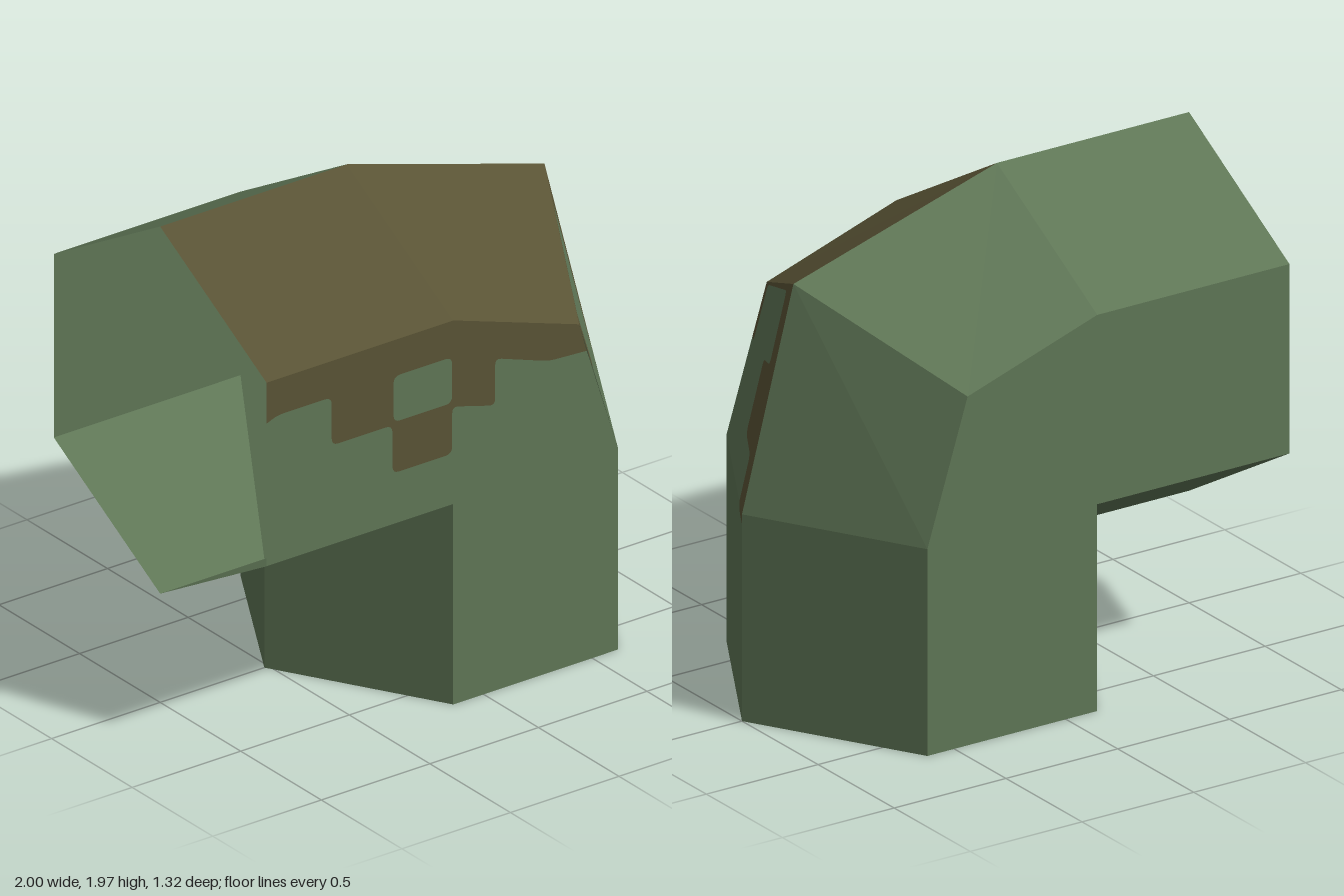
import * as THREE from 'three';

const W = 0.66; // half width of the hexagonal duct

// Edge rails of the bent duct in x, y, from the side opening round to the bottom opening
const ridge = [[-1, 1.97], [-0.14, 1.97], [0.77, 1.7], [1, 0.83], [1, 0]];
const shoulder = [[-1, 1.59], [-0.14, 1.59], [0.44, 1.4], [0.62, 0.83], [0.62, 0]];
const crook = [[-1, 0.83], [-0.14, 0.83], [-0.14, 0]];
const belly = [[-1, 0.45], [-0.52, 0.45], [-0.52, 0]];

const green = new THREE.MeshStandardMaterial({ color: 0x5f7656, side: THREE.DoubleSide });
green.name = 'muted green';
const brown = new THREE.MeshStandardMaterial({ color: 0x59533a, side: THREE.DoubleSide });
brown.color.set(0x595335);
brown.name = 'olive brown';

// Flat-faced copy, with the winding reversed when asked
function finish(geo, reverse) {
  const g = geo.index ? geo.toNonIndexed() : geo;
  g.deleteAttribute('uv');
  if (reverse) {
    const p = g.attributes.position;
    const a = new THREE.Vector3(), b = new THREE.Vector3();
    for (let i = 0; i < p.count; i += 3) {
      a.fromBufferAttribute(p, i + 1);
      b.fromBufferAttribute(p, i + 2);
      p.setXYZ(i + 1, b.x, b.y, b.z);
      p.setXYZ(i + 2, a.x, a.y, a.z);
    }
  }
  g.computeVertexNormals();
  return g;
}

// Panels between two rails, spanning the listed segments
function strip(a, za, b, zb, segments, reverse) {
  const pos = [];
  for (const i of segments) {
    const p = [...a[i], za], q = [...b[i], zb], r = [...b[i + 1], zb], s = [...a[i + 1], za];
    pos.push(...p, ...q, ...r, ...p, ...r, ...s);
  }
  const g = new THREE.BufferGeometry();
  g.setAttribute('position', new THREE.Float32BufferAttribute(pos, 3));
  return finish(g, reverse);
}

// Softens the inner corners of an open outline
function soften(points, radius = 0.03) {
  const v = points.map(p => new THREE.Vector2(...p));
  const out = [v[0]];
  for (let i = 1; i < v.length - 1; i++) {
    const toward = n => {
      const d = n.clone().sub(v[i]);
      return v[i].clone().add(d.setLength(Math.min(radius, d.length() * 0.45)));
    };
    const curve = new THREE.QuadraticBezierCurve(toward(v[i - 1]), v[i], toward(v[i + 1]));
    out.push(...curve.getPoints(4));
  }
  out.push(v[v.length - 1]);
  return out;
}

const vec = list => list.map(p => new THREE.Vector2(...p));

// Flat shape in x, y set at depth z
function wall(points, z, holes = [], reverse = false) {
  const shape = new THREE.Shape(points);
  for (const h of holes) shape.holes.push(new THREE.Path(h));
  return finish(new THREE.ShapeGeometry(shape).translate(0, 0, z), reverse);
}

// Shape drawn in z, y and laid on the slanted outer front of the bend
function outerPanel(points) {
  const g = new THREE.ShapeGeometry(new THREE.Shape(points));
  const p = g.attributes.position;
  for (let i = 0; i < p.count; i++) {
    const z = p.getX(i), y = p.getY(i), u = 1 - z / W;
    const t = Math.max(0, (y - 0.83) / (0.57 + 0.3 * u));
    p.setXYZ(i, THREE.MathUtils.lerp(0.62 + 0.38 * u, 0.44 + 0.33 * u, t), y, z);
  }
  return finish(g, true);
}

export function createModel() {
  const group = new THREE.Group();
  const add = (name, geo, mat) => {
    const mesh = new THREE.Mesh(geo, mat);
    mesh.name = name;
    group.add(mesh);
  };

  // Sloping roof and outer bend
  add('frontRoof', strip(ridge, 0, shoulder, W, [0, 1]), brown);
  add('backRoof', strip(ridge, 0, shoulder, -W, [0, 1, 2, 3], true), green);

  // Inner slanted panels under the arm and behind the leg
  add('frontUnderside', strip(crook, W, belly, 0, [0, 1]), green);
  add('backUnderside', strip(crook, -W, belly, 0, [0, 1], true), green);

  // Plain back wall
  add('backWall', wall(vec([...shoulder, ...[...crook].reverse()]), -W, [], true), green);

  // Front wall, split along the blocky patch outline
  const edge = soften([
    [-1, 1.42], [-0.95, 1.44], [-0.7, 1.44], [-0.7, 1.24], [-0.42, 1.24], [-0.42, 1.04],
    [-0.145, 1.04], [-0.145, 1.235], [0.053, 1.18], [0.053, 1.375], [0.3, 1.29], [0.475, 1.28],
  ]);
  const gap = soften([
    [-0.28, 1.25], [-0.415, 1.25], [-0.415, 1.44], [-0.145, 1.44], [-0.145, 1.25], [-0.28, 1.25],
  ]).slice(0, -1);
  add('frontWall', wall([
    ...edge, ...vec([[0.62, 0.83], [0.62, 0], [-0.14, 0], [-0.14, 0.83], [-1, 0.83]]),
  ], W), green);
  add('frontWallPatch', wall([
    ...edge, ...vec([[0.44, 1.4], [-0.14, 1.59], [-1, 1.59]]),
  ], W, [gap]), brown);
  add('frontWallGap', wall(gap, W), green);

  // Outer front of the bend, split the same way
  const bendEdge = soften([
    [0.11, 0.83], [0.11, 1.005], [0.285, 1.005], [0.285, 1.285], [0.13, 1.335],
    [0.13, 1.615], [0.612, 1.412], [0.612, 1.2], [W, 1.2],
  ]);
  add('bendPanel', outerPanel([...bendEdge, ...vec([[W, 0.83]])]), green);
  add('bendPatch', outerPanel([...bendEdge, ...vec([[W, 1.4], [0, 1.7], [0, 0.83]])]), brown);

  // Outer front of the leg with the tail of the patch
  const legEdge = soften([[0.11, 0.83], [0.11, 0.79], [0, 0.79]]);
  add('legPanel', outerPanel([...legEdge, ...vec([[0, 0], [W, 0], [W, 0.83]])]), green);
  add('legPatch', outerPanel([...legEdge, ...vec([[0, 0.83]])]), brown);

  return group;
}
